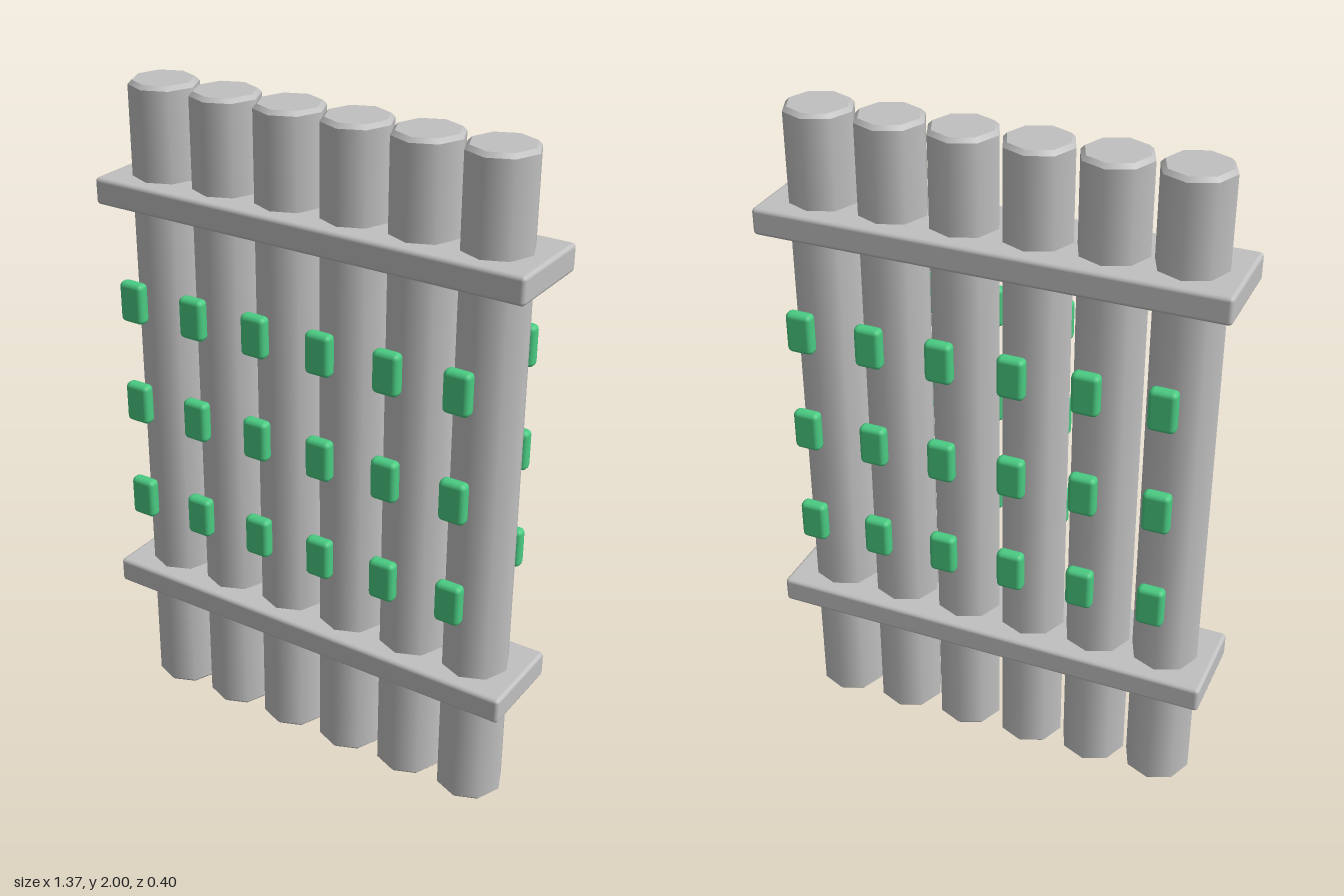
import * as THREE from 'three';
import { mergeGeometries } from 'three/addons/utils/BufferGeometryUtils.js';
import { RoundedBoxGeometry } from 'three/addons/geometries/RoundedBoxGeometry.js';

// Eight-sided post with a narrow bevel at both ends
function postGeometry(radius, height, bevel) {
  const inner = radius - bevel;
  const side = new THREE.CylinderGeometry(radius, radius, height - 2 * bevel, 8, 1, true);
  const top = new THREE.CylinderGeometry(inner, radius, bevel, 8);
  const bottom = new THREE.CylinderGeometry(radius, inner, bevel, 8);
  side.translate(0, height / 2, 0);
  top.translate(0, height - bevel / 2, 0);
  bottom.translate(0, bevel / 2, 0);
  return mergeGeometries([side, top, bottom]);
}

export function createModel() {
  const group = new THREE.Group();
  const grey = new THREE.MeshStandardMaterial({ color: 0xc0c0c0 });
  grey.name = 'grey metal';
  const green = new THREE.MeshStandardMaterial({ color: 0x4acb82 });
  green.name = 'green';

  const add = (name, geometry, material, x, y, z) => {
    const mesh = new THREE.Mesh(geometry, material);
    mesh.name = name;
    mesh.position.set(x, y, z);
    group.add(mesh);
  };

  const post = postGeometry(0.101, 2, 0.012);
  const rail = new RoundedBoxGeometry(1.365, 0.08, 0.29, 2, 0.012);
  const stud = new RoundedBoxGeometry(0.08, 0.124, 0.04, 2, 0.015);

  // Two flat rails wrapping the posts
  add('lowerRail', rail, grey, 0, 0.408, 0);
  add('upperRail', rail, grey, 0, 1.685, 0);

  // Six posts, each with three floating studs in front and behind
  for (let i = 0; i < 6; i++) {
    const x = (i - 2.5) * 0.2125;
    add('post', post, grey, x, 0, 0);
    for (const y of [0.748, 1.069, 1.39]) {
      add('frontStud', stud, green, x, y, 0.18);
      add('backStud', stud, green, x, y, -0.18);
    }
  }
  return group;
}
